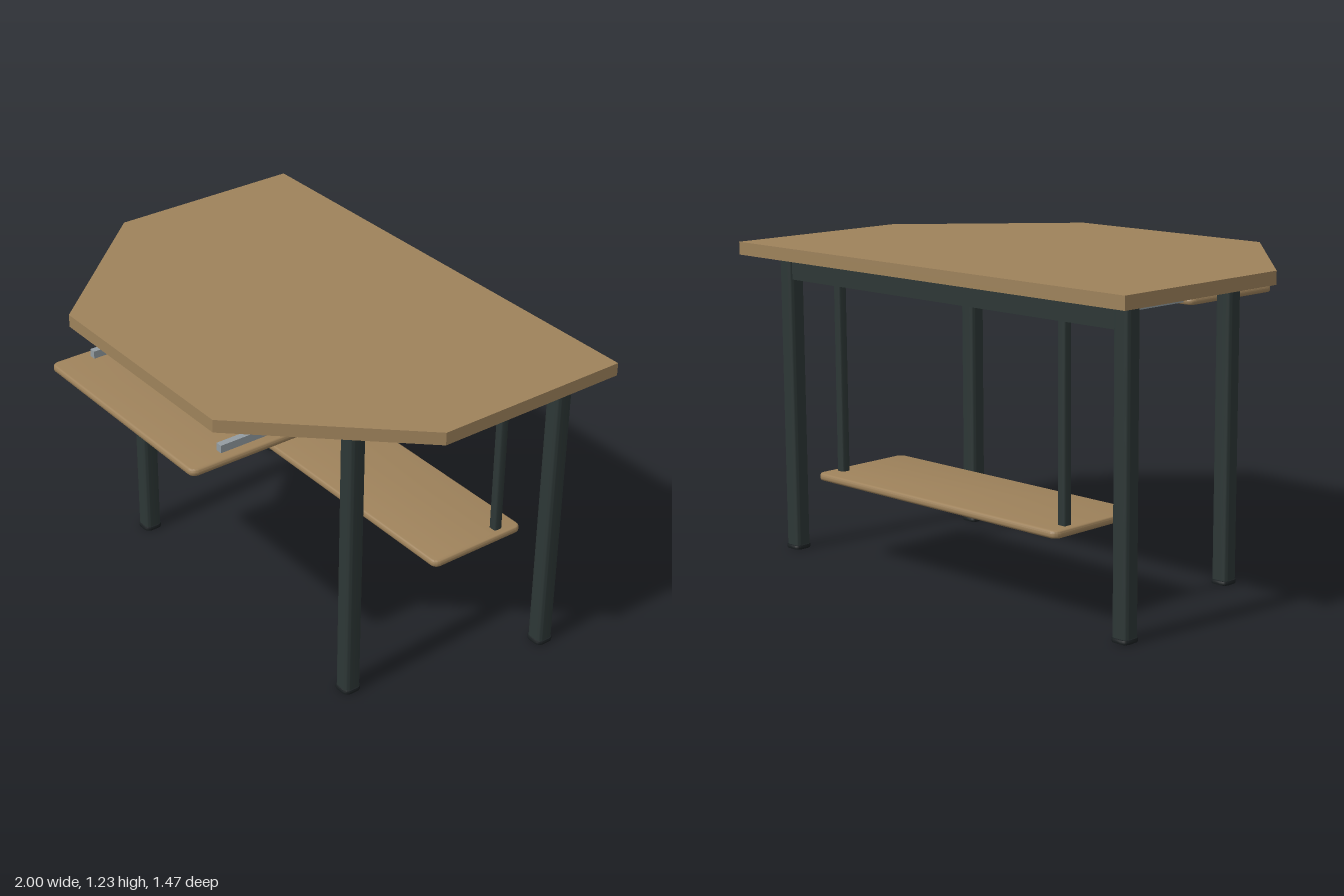
import * as THREE from 'three';
import { toCreasedNormals } from 'three/addons/utils/BufferGeometryUtils.js';

const material = (name, color) => {
  const m = new THREE.MeshStandardMaterial({ color });
  m.name = name;
  return m;
};

// Rounded rectangle outline centred on the origin
function roundedRect(w, d, r) {
  const s = new THREE.Shape(), x = w / 2, y = d / 2;
  s.absarc(x - r, y - r, r, 0, Math.PI / 2);
  s.absarc(-x + r, y - r, r, Math.PI / 2, Math.PI);
  s.absarc(-x + r, -y + r, r, Math.PI, Math.PI * 1.5);
  s.absarc(x - r, -y + r, r, Math.PI * 1.5, Math.PI * 2);
  s.closePath();
  return s;
}

// Upright extrusion from y0 to y1 with softened top and bottom edges
function upright(shape, y0, y1, bevel, segments = 3) {
  const g = new THREE.ExtrudeGeometry(shape, {
    depth: y1 - y0 - 2 * bevel, curveSegments: 4,
    bevelEnabled: bevel > 0, bevelThickness: bevel, bevelSize: bevel,
    bevelOffset: -bevel, bevelSegments: segments,
  });
  g.rotateX(-Math.PI / 2);
  g.translate(0, y0 + bevel, 0);
  return toCreasedNormals(g, 0.6);
}

export function createModel() {
  const wood = material('wood', 0x9e825b);
  const steel = material('darkSteel', 0x2d3736);
  const rubber = material('footRubber', 0x1b2022);
  const metal = material('railMetal', 0x939ca1);

  const model = new THREE.Group();
  model.name = 'desk';
  const add = (name, geometry, mat, x = 0, y = 0, z = 0) => {
    const mesh = new THREE.Mesh(geometry, mat);
    mesh.name = name;
    mesh.position.set(x, y, z);
    model.add(mesh);
  };

  // Six-sided top, tapering to the front (shape y becomes -z)
  const top = new THREE.Shape([
    [-1, 0.735], [-1, -0.06], [-0.465, -0.645],
    [0.465, -0.645], [1, -0.06], [1, 0.735],
  ].map(([x, y]) => new THREE.Vector2(x, y)));
  add('tabletop', upright(top, 1.18, 1.23, 0), wood);

  // Low shelf and sliding tray
  add('lowerShelf', upright(roundedRect(1.27, 0.437, 0.03), 0.333, 0.362, 0.01), wood, 0, 0, -0.458);
  add('slidingTray', upright(roundedRect(0.934, 0.495, 0.03), 1.027, 1.054, 0.01), wood, 0, 0, 0.487);

  // Beam between the back legs
  add('backBeam', new THREE.BoxGeometry(1.69, 0.088, 0.05), steel, 0, 1.129, -0.582);

  const leg = upright(roundedRect(0.07, 0.07, 0.018), 0.014, 1.177, 0.004, 1);
  const foot = upright(roundedRect(0.08, 0.08, 0.026), 0, 0.018, 0.005, 2);
  for (const [side, label] of [[1, 'left'], [-1, 'right']]) {
    // Legs and their feet
    for (const [part, x, z] of [['Front', 0.673, 0.2], ['Back', 0.873, -0.582]]) {
      add(`${label}${part}Leg`, leg, steel, side * x, 0, z);
      add(`${label}${part}Foot`, foot, rubber, side * x, 0, z);
    }
    // Hanger from beam to shelf, and tray rail
    add(`${label}ShelfPost`, upright(roundedRect(0.035, 0.035, 0.006), 0.355, 1.09, 0), steel, side * 0.588, 0, -0.582);
    add(`${label}TrayRail`, new THREE.BoxGeometry(0.026, 0.048, 0.805), metal, side * 0.412, 1.06, 0.183);
  }
  return model;
}
